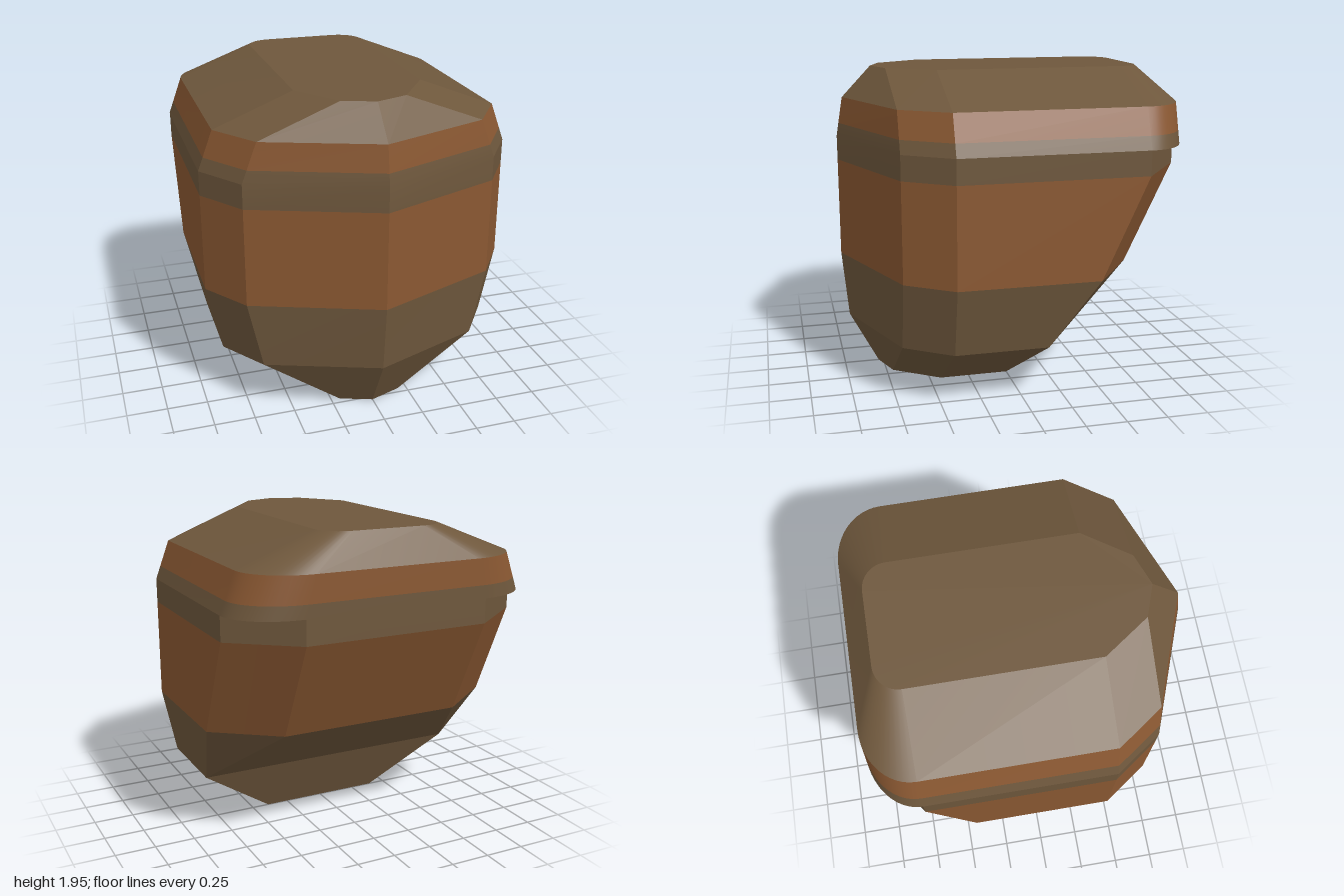
import * as THREE from 'three';
import { toCreasedNormals } from 'three/addons/utils/BufferGeometryUtils.js';

const STEPS = 12; // points along each rear corner

// Horizontal outline: pointed front, straight sides, chamfered or rounded rear corners.
// w = half width, tip = front z, side/back = z where the rear corner starts/ends, bx = x where it ends
function ring(y, w, tip, side, back, bx, round) {
  const half = [[0, tip], [w - 0.195, 0.71], [w, 0.43]];
  for (let i = 0; i <= STEPS; i++) {
    const t = i / STEPS, a = t * Math.PI / 2;
    const u = round ? 1 - Math.cos(a) : t;
    const v = round ? Math.sin(a) : t;
    half.push([w + (bx - w) * u, side + (back - side) * v]);
  }
  const mirrored = half.slice(1).reverse().map(([x, z]) => [-x, z]);
  return [...half, ...mirrored].map(([x, z]) => new THREE.Vector3(x, y, z));
}

// Adds a triangle unless it has collapsed to a line
function addTriangle(out, a, b, c) {
  const area = b.clone().sub(a).cross(c.clone().sub(a)).length();
  if (area > 1e-6) for (const p of [a, b, c]) out.push(p.x, p.y, p.z);
}

function loft(rings, capBottom = false, capTop = false) {
  const out = [];
  for (let k = 0; k + 1 < rings.length; k++) {
    const lo = rings[k], hi = rings[k + 1];
    lo.forEach((a, i) => {
      const j = (i + 1) % lo.length;
      addTriangle(out, a, lo[j], hi[j]);
      addTriangle(out, a, hi[j], hi[i]);
    });
  }
  const first = rings[0], last = rings[rings.length - 1];
  for (let i = 1; i + 1 < first.length; i++) {
    if (capBottom) addTriangle(out, first[0], first[i + 1], first[i]);
    if (capTop) addTriangle(out, last[0], last[i], last[i + 1]);
  }
  const geometry = new THREE.BufferGeometry();
  geometry.setAttribute('position', new THREE.Float32BufferAttribute(out, 3));
  return toCreasedNormals(geometry, 0.25);
}

export function createModel() {
  const group = new THREE.Group();
  const dull = new THREE.MeshStandardMaterial({ color: 0x6e573c });
  const warm = new THREE.MeshStandardMaterial({ color: 0x8a5832 });

  const base = ring(0, 0.39, 0.78, 0, 0, 0.39, false);
  const keel = ring(0.34, 0.87, 0.96, -0.14, -0.14, 0.87, false);
  const waist = ring(0.76, 0.96, 1, -0.43, -0.71, 0.58, false);
  const shoulder = ring(1.37, 0.96, 1, -0.71, -1, 0.58, false);
  const neck = ring(1.52, 0.96, 1, -0.71, -1, 0.58, false);
  const lip = ring(1.52, 0.96, 1, -0.71, -1, 0.58, true);
  const rim = ring(1.6, 0.93, 0.987, -0.71, -1, 0.56, true);
  const brow = ring(1.76, 0.87, 0.96, -0.71, -1, 0.52, true);
  const crown = ring(1.95, 0.39, 0.78, -0.71, -0.86, 0.23, true);

  const add = (name, geometry, material) => {
    const mesh = new THREE.Mesh(geometry, material);
    mesh.name = name;
    group.add(mesh);
  };
  add('taperedBase', loft([base, keel, waist], true), dull);
  add('mainBody', loft([waist, shoulder]), warm);
  add('collarWithRearLip', loft([shoulder, neck, lip, rim]), dull);
  add('upperBand', loft([rim, brow]), warm);
  add('topCap', loft([brow, crown], false, true), dull);
  return group;
}
